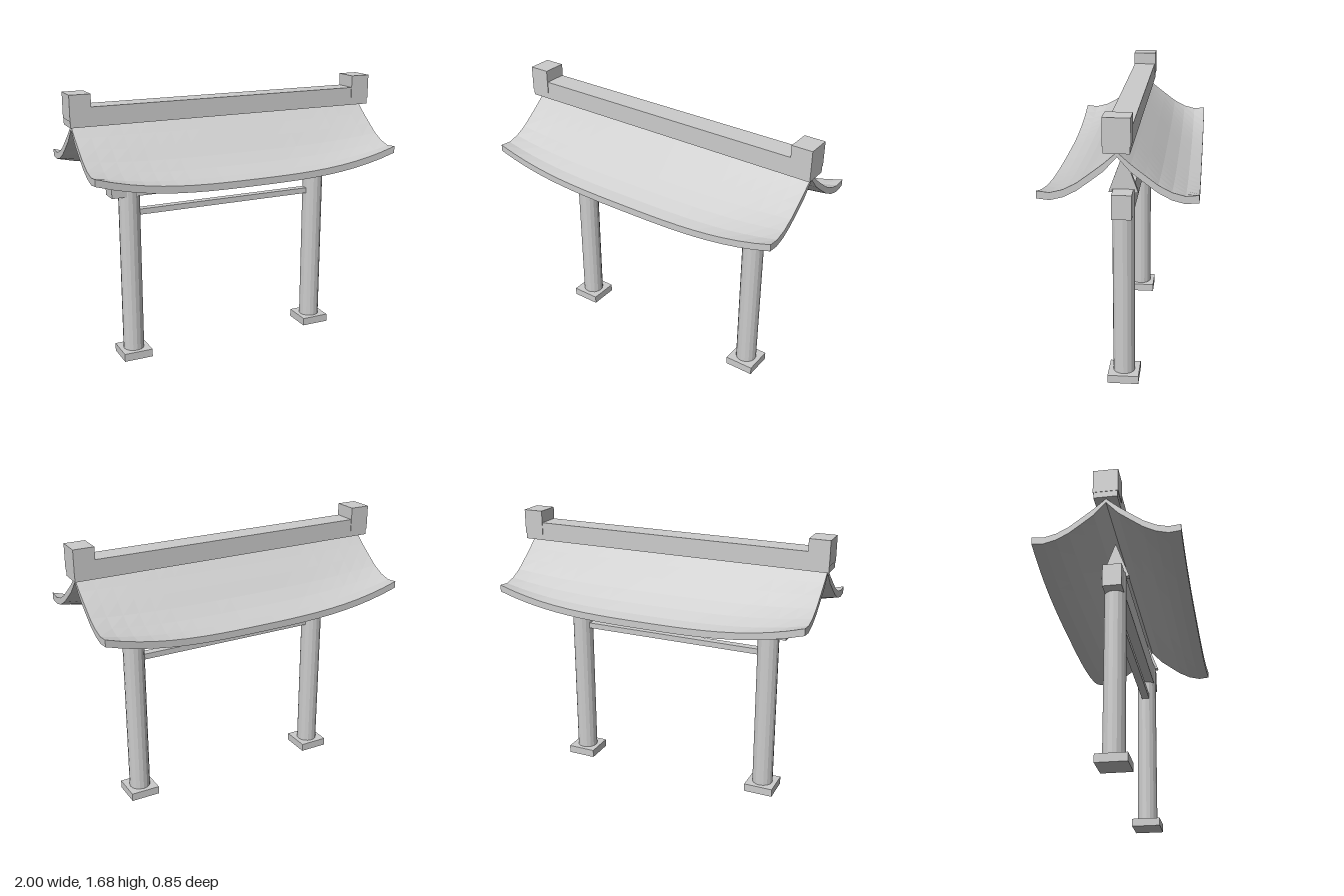
import * as THREE from 'three';

const stone = new THREE.MeshStandardMaterial({ color: 0xcccccc });
stone.name = 'stoneGrey';

// Give every face its own flat normal
function flat(geometry) {
  const g = geometry.index ? geometry.toNonIndexed() : geometry;
  g.computeVertexNormals();
  return g;
}

function add(group, name, geometry, x = 0, y = 0, z = 0) {
  const mesh = new THREE.Mesh(geometry, stone);
  mesh.name = name;
  mesh.position.set(x, y, z);
  group.add(mesh);
  return mesh;
}

// Box given by its bottom and top heights
function block(group, name, w, y0, y1, d, x = 0) {
  return add(group, name, new THREE.BoxGeometry(w, y1 - y0, d), x, (y0 + y1) / 2);
}

// Sweeping roof: a thin slab bent to a concave slope with raised corners
function roofGeometry() {
  const halfLength = 0.977, halfDepth = 0.425, thickness = 0.042;
  const slope = [1.495, 1.425, 1.357, 1.287, 1.23, 1.189, 1.171];
  const rows = slope.length - 1;
  const g = new THREE.BoxGeometry(halfLength * 2, thickness, halfDepth * 2, 20, 1, rows * 2);
  const p = g.attributes.position;
  for (let i = 0; i < p.count; i++) {
    const u = Math.abs(p.getZ(i)) / halfDepth;
    const v = Math.abs(p.getX(i)) / halfLength;
    const lift = 0.105 * Math.pow(u, 1.5) * Math.pow(v, 3);
    const under = p.getY(i) < 0 ? thickness - 0.016 * Math.max(0, 1 - u * 6) : 0;
    p.setY(i, slope[Math.round(u * rows)] + lift - under);
  }
  return flat(g);
}

// Triangular bracket standing across the beam
function bracketGeometry() {
  const shape = new THREE.Shape();
  shape.moveTo(-0.084, 0);
  shape.lineTo(0.084, 0);
  shape.lineTo(0, 0.23);
  shape.closePath();
  const g = new THREE.ExtrudeGeometry(shape, { depth: 0.03, bevelEnabled: false });
  g.translate(0, 0, -0.015);
  g.rotateY(Math.PI / 2);
  return g;
}

export function createModel() {
  const gate = new THREE.Group();
  gate.name = 'roofedGate';

  // Posts with plinths, roof brackets and ridge end blocks
  for (const side of [-1, 1]) {
    const label = side > 0 ? 'left' : 'right';
    const x = side * 0.642;
    block(gate, label + 'Plinth', 0.183, 0, 0.05, 0.183, x);
    add(gate, label + 'Post', flat(new THREE.CylinderGeometry(0.065, 0.065, 1.14, 16)), x, 0.62);
    add(gate, label + 'RoofBracket', bracketGeometry(), x, 1.17);
    block(gate, label + 'RidgeEnd', 0.126, 1.53, 1.68, 0.147, side * 0.937);
  }

  // Cross beams
  block(gate, 'mainBeam', 1.535, 1.048, 1.19, 0.113);
  block(gate, 'tieRail', 1.17, 0.92, 0.955, 0.05);

  // Roof and ridge
  add(gate, 'roof', roofGeometry());
  block(gate, 'ridgeBeam', 1.996, 1.492, 1.605, 0.139);

  return gate;
}
